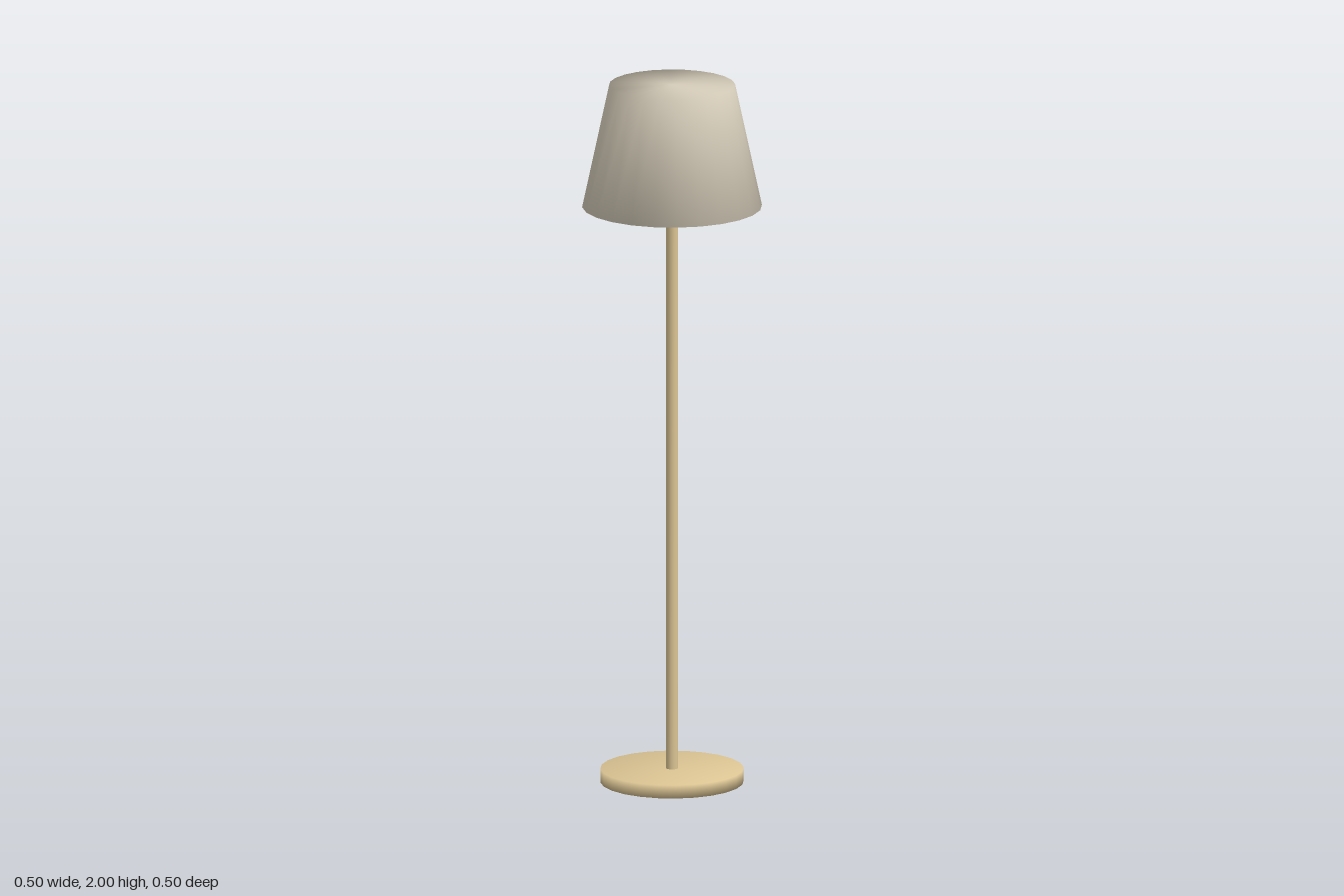
import * as THREE from 'three';
import { mergeVertices } from 'three/addons/utils/BufferGeometryUtils.js';

// Closed round part standing from y0 to y1, smoothed across its rims
function roundPart(name, material, rTop, rBottom, y0, y1, sides) {
  let geometry = new THREE.CylinderGeometry(rTop, rBottom, y1 - y0, sides);
  geometry.deleteAttribute('normal');
  geometry.deleteAttribute('uv');
  geometry.clearGroups();
  geometry = mergeVertices(geometry, 1e-4);
  geometry.computeVertexNormals();
  geometry.translate(0, (y0 + y1) / 2, 0);
  const mesh = new THREE.Mesh(geometry, material);
  mesh.name = name;
  return mesh;
}

export function createModel() {
  const brass = new THREE.MeshStandardMaterial({ color: 0xdcc594 });
  brass.name = 'brass';
  const fabric = new THREE.MeshStandardMaterial({ color: 0xd6cdba });
  fabric.name = 'shade fabric';

  const lamp = new THREE.Group();
  lamp.name = 'floorLamp';
  lamp.add(
    roundPart('base', brass, 0.2, 0.2, 0, 0.038, 24),
    roundPart('pole', brass, 0.0175, 0.0175, 0.02, 1.7, 12),
    roundPart('shade', fabric, 0.176, 0.251, 1.652, 2, 24),
  );
  return lamp;
}
